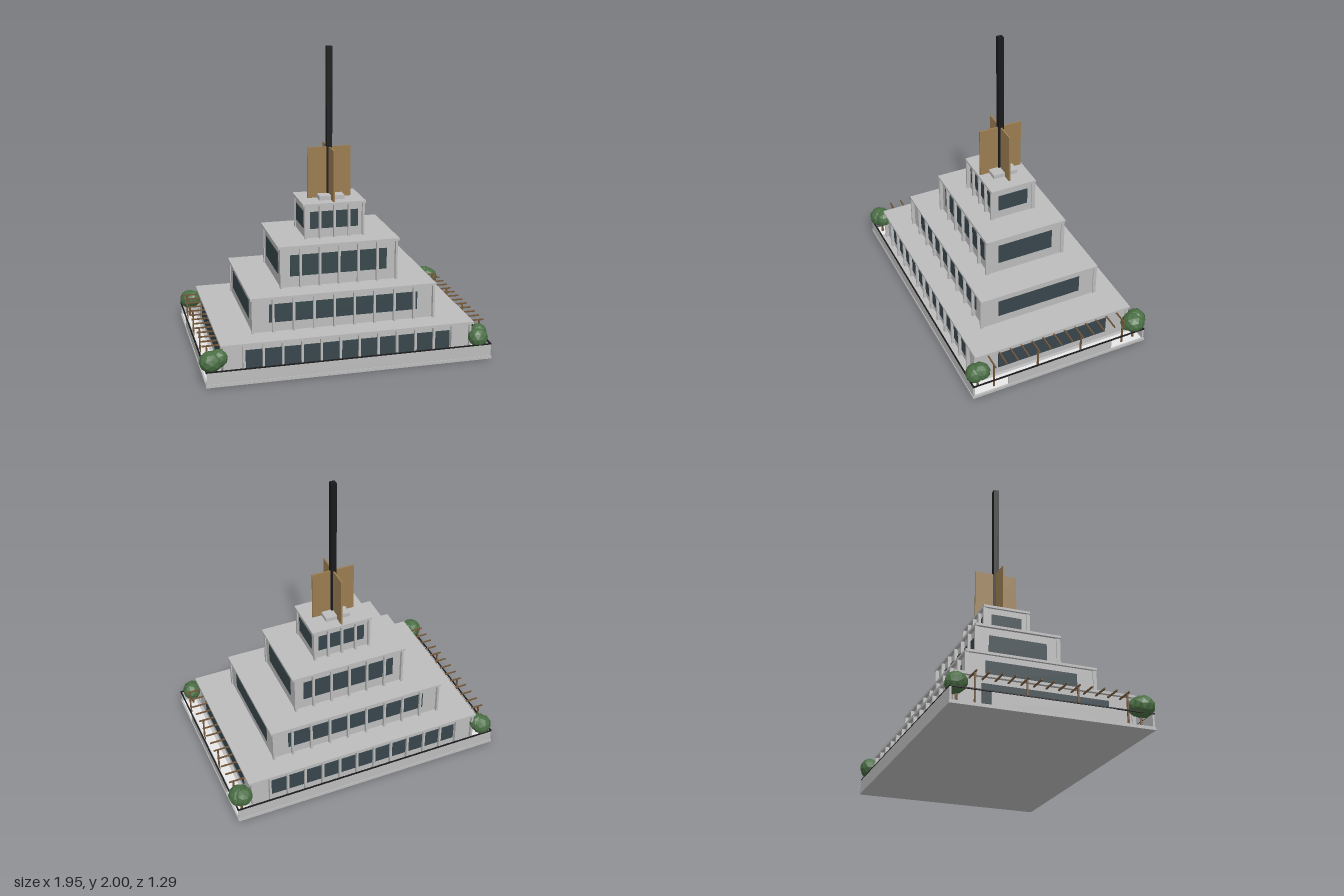
import * as THREE from 'three';

const mat = (name, color) => {
  const m = new THREE.MeshStandardMaterial({ color });
  m.name = name;
  return m;
};

export function createModel() {
  const root = new THREE.Group();
  root.name = 'steppedTower';

  const concrete = mat('concrete grey', 0xbcbcbc);
  const glass = mat('dark glass', 0x37464b);
  const bronze = mat('bronze panel', 0x9a7c50);
  const black = mat('black metal', 0x1a1a1c);
  const wood = mat('brown wood', 0x74573a);
  const leaf = mat('leaf green', 0x4a6e44);
  const paving = mat('white paving', 0xf8f8f8);
  leaf.flatShading = true;

  // Box given by its centre in x and z, its bottom and its top
  const box = (parent, name, material, x, z, w, d, y0, y1) => {
    const m = new THREE.Mesh(new THREE.BoxGeometry(w, y1 - y0, d), material);
    m.position.set(x, (y0 + y1) / 2, z);
    m.name = name;
    parent.add(m);
    return m;
  };
  const group = (name) => {
    const g = new THREE.Group();
    g.name = name;
    root.add(g);
    return g;
  };

  // Base slab, terrace paving, parapets and black rails
  const base = group('base');
  box(base, 'slab', concrete, 0, 0, 1.88, 1.26, 0, 0.02);
  for (const s of [-1, 1]) {
    box(base, 'sidePaving', paving, s * 0.884, 0, 0.092, 1.22, 0.02, 0.024);
    box(base, 'longParapet', concrete, 0, s * 0.62, 1.87, 0.012, 0.02, 0.098);
    box(base, 'sideParapet', concrete, s * 0.93, 0, 0.01, 0.756, 0.02, 0.098);
    box(base, 'longRail', black, 0, s * 0.622, 1.88, 0.009, 0.097, 0.104);
    box(base, 'sideRail', black, s * 0.935, 0, 0.009, 1.25, 0.097, 0.104);
  }

  // Tiers: half sizes of the roof, wall inset, fin row, window extents
  const tiers = [
    { y0: 0.02, y1: 0.243, rx: 0.835, rz: 0.565, fins: 14, fx: 0.813, wx: 0.675, wz: 0.395, w0: 0.07, w1: 0.192 },
    { y0: 0.24, y1: 0.481, rx: 0.62, rz: 0.425, fins: 10, fx: 0.604, wx: 0.495, wz: 0.295, w0: 0.305, w1: 0.427 },
    { y0: 0.48, y1: 0.763, rx: 0.408, rz: 0.286, fins: 7, fx: 0.388, wx: 0.325, wz: 0.194, w0: 0.555, w1: 0.697 },
    { y0: 0.76, y1: 0.998, rx: 0.212, rz: 0.16, fins: 5, fx: 0.196, wx: 0.163, wz: 0.104, w0: 0.825, w1: 0.94 },
  ];
  tiers.forEach((t, i) => {
    const g = group('tier' + (i + 1));
    const bx = t.fx, bz = t.rz - 0.022, under = t.y1 - 0.016;
    box(g, 'walls', concrete, 0, 0, bx * 2, bz * 2, t.y0, under);
    box(g, 'roof', concrete, 0, 0, t.rx * 2, t.rz * 2, under, t.y1);
    for (const s of [-1, 1]) {
      box(g, 'longWindow', glass, 0, s * (bz + 0.002), t.wx * 2, 0.006, t.w0, t.w1);
      box(g, 'sideWindow', glass, s * (bx + 0.002), 0, 0.006, t.wz * 2, t.w0, t.w1);
      for (let k = 0; k < t.fins; k++) {
        const x = -t.fx + (2 * t.fx * k) / (t.fins - 1);
        box(g, 'fin', concrete, x, s * (bz + 0.011), 0.014, 0.024, t.y0, under);
      }
    }
  });

  // Rooftop plinth, crossed panels and mast
  const crown = group('crown');
  box(crown, 'plinth', concrete, 0, 0, 0.17, 0.17, 0.998, 1.026);
  box(crown, 'widePanel', bronze, 0, 0, 0.294, 0.011, 0.998, 1.34);
  box(crown, 'deepPanel', bronze, 0, 0, 0.011, 0.294, 0.998, 1.34);
  box(crown, 'mast', black, 0, 0, 0.037, 0.037, 0.998, 2);

  // Pergolas along both short sides
  for (const s of [-1, 1]) {
    const g = group(s > 0 ? 'leftPergola' : 'rightPergola');
    for (let k = 0; k < 13; k++)
      box(g, 'beam', wood, s * 0.877, -0.47 + k * 0.0783, 0.125, 0.008, 0.209, 0.218);
    for (const z of [-0.47, -0.157, 0.157, 0.47])
      box(g, 'post', wood, s * 0.91, z, 0.01, 0.01, 0.02, 0.21);
  }

  // Corner trees: trunk position, then foliage clumps as x, y, z, radius
  const trees = [
    { x: -0.885, z: 0.565, clumps: [[-0.9, 0.15, 0.572, 0.075], [-0.85, 0.165, 0.562, 0.06], [-0.885, 0.15, 0.54, 0.052]] },
    { x: 0.865, z: 0.565, clumps: [[0.86, 0.14, 0.58, 0.066], [0.872, 0.155, 0.545, 0.064]] },
    { x: -0.88, z: -0.57, clumps: [[-0.88, 0.145, -0.575, 0.068], [-0.862, 0.155, -0.555, 0.062]] },
    { x: 0.895, z: -0.565, clumps: [[0.9, 0.165, -0.56, 0.076], [0.885, 0.175, -0.585, 0.066], [0.885, 0.15, -0.535, 0.058]] },
  ];
  trees.forEach((t, i) => {
    const g = group('cornerTree' + (i + 1));
    const trunk = new THREE.Mesh(new THREE.CylinderGeometry(0.007, 0.009, 0.11, 6), wood);
    trunk.position.set(t.x, 0.075, t.z);
    trunk.name = 'trunk';
    g.add(trunk);
    t.clumps.forEach(([x, y, z, r], k) => {
      const c = new THREE.Mesh(new THREE.IcosahedronGeometry(r, 1), leaf);
      c.position.set(x, y, z);
      c.scale.y = 0.92;
      c.rotation.set(i + k, i * 2 + k, k * 0.7);
      c.name = 'foliage';
      g.add(c);
    });
  });

  return root;
}
